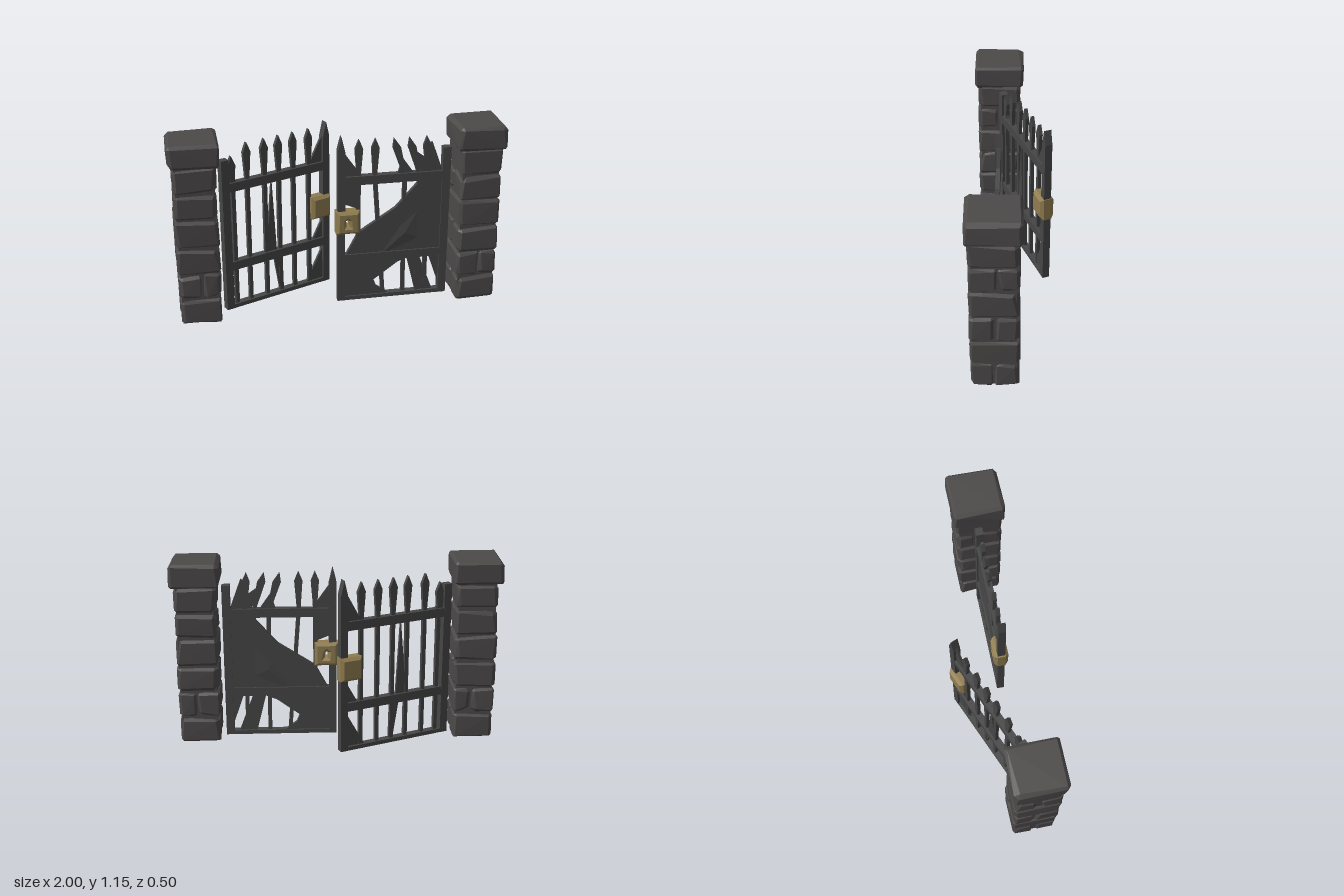
import * as THREE from 'three';
import { ConvexGeometry } from 'three/addons/geometries/ConvexGeometry.js';

const mat = (name, color) => {
  const m = new THREE.MeshStandardMaterial({ color, flatShading: true });
  m.name = name;
  return m;
};

// Small seeded generator for the rough stone
function seeded(s) {
  return () => ((s = (s * 16807) % 2147483647) / 2147483647);
}

export function createModel() {
  const stone = mat('dark stone', 0x4c4949);
  const iron = mat('wrought iron', 0x474646);
  const brass = mat('old brass', 0x8f7c50);
  const model = new THREE.Group();
  model.name = 'ruinedGate';

  const add = (parent, name, geo, material) => {
    const mesh = new THREE.Mesh(geo, material);
    mesh.name = name;
    parent.add(mesh);
    return mesh;
  };

  // A block with unevenly chipped corners between two opposite corners
  function roughBlock(lo, hi, rnd, chip = 0.022) {
    const pts = [];
    for (let i = 0; i < 8; i++) {
      const side = [i & 1, (i >> 1) & 1, (i >> 2) & 1];
      const corner = side.map((s, k) => (s ? hi[k] : lo[k]));
      const inward = side.map((s) => (s ? -1 : 1));
      const c = chip * (0.6 + rnd() * 0.9);
      for (let k = 0; k < 3; k++) {
        const p = corner.map((v, j) => v + inward[j] * (j === k ? rnd() * 0.006 : c * (0.7 + rnd() * 0.6)));
        pts.push(new THREE.Vector3(...p));
      }
    }
    return new ConvexGeometry(pts);
  }

  // Pillar: courses of single and split stones, then a cap
  const rows = [0, 0.17, 0.335, 0.505, 0.68, 0.84, 1.005];
  function pillar(name, cx, seed) {
    const rnd = seeded(seed);
    const g = new THREE.Group();
    g.name = name;
    g.position.set(cx, 0, 0.092);
    const core = add(g, 'pillarCore', new THREE.BoxGeometry(0.225, 1.06, 0.245), stone);
    core.position.y = 0.54;
    for (let r = 0; r < 6; r++) {
      const w = 0.126 + rnd() * 0.006, d = 0.138 + rnd() * 0.006;
      const y0 = rows[r] + (r ? 0.001 : 0), y1 = rows[r + 1] - 0.001;
      const cut = (rnd() - 0.5) * 0.04;
      const boxes = r % 2 === 0
        ? [[-w, -d, w, cut], [-w, cut, w, d]]
        : r === 1
          ? [[-w, -d, cut, d], [cut, -d, w, d]]
          : [[-w, -d, w, d]];
      for (const [x0, z0, x1, z1] of boxes)
        add(g, 'stone', roughBlock([x0, y0, z0], [x1, y1, z1], rnd), stone);
    }
    add(g, 'capStone', roughBlock([-0.15, 1, -0.158], [0.15, 1.15, 0.158], rnd, 0.02), stone);
    model.add(g);
  }
  pillar('rightPillar', -0.85, 31);
  pillar('leftPillar', 0.85, 877);

  // Flat outline thickened about the gate plane
  function plate(parent, name, pts, depth, material = iron) {
    const shape = new THREE.Shape(pts.map(([x, y]) => new THREE.Vector2(x, y)));
    const geo = new THREE.ExtrudeGeometry(shape, { depth, bevelEnabled: false });
    geo.translate(0, 0, -depth / 2);
    return add(parent, name, geo, material);
  }

  // Spear-headed bar; the part above the top rail may lean
  function bar(parent, u, tip = 1.065, lean = 0, tilt = 0) {
    const at = (y) => u + lean * Math.max(0, (y - 0.8) / 0.27) + tilt * (0.8 - Math.min(y, 0.8));
    const neck = tip - 0.06;
    const half = [[0, 0.012], [0.82, 0.013], [0.86, 0.014], [neck, 0.025]];
    plate(parent, 'spearBar', [
      ...half.map(([y, w]) => [at(y) + w, y]),
      [at(tip), tip],
      ...half.slice().reverse().map(([y, w]) => [at(y) - w, y]),
    ], 0.022);
  }

  // Gate frame running along +x from its hinge
  function gateFrame(name, length) {
    const g = new THREE.Group();
    g.name = name;
    const box = (part, x0, x1, y0, y1, d) => {
      const m = add(g, part, new THREE.BoxGeometry(x1 - x0, y1 - y0, d), iron);
      m.position.set((x0 + x1) / 2, (y0 + y1) / 2, 0);
    };
    box('hingePost', -0.005, 0.045, 0.005, 0.985, 0.046);
    for (const [y0, y1] of [[0.005, 0.03], [0.265, 0.32], [0.78, 0.835]])
      box('rail', 0.03, length - 0.02, y0, y1, 0.044);
    const L = length;
    plate(g, 'latchPost', [[L - 0.046, 0.005], [L, 0.005], [L, 1], [L - 0.022, 1.09], [L - 0.046, 0.99]], 0.046);
    model.add(g);
    return g;
  }

  // Brass lock case, optionally with a keyhole right through
  function lockCase(parent, u0, u1, keyhole) {
    const b = 0.018;
    const s = new THREE.Shape();
    const [x0, x1, y0, y1] = [u0 + b, u1 - b, 0.465 + b, 0.615 - b];
    s.moveTo(x0, y0).lineTo(x1, y0).lineTo(x1, y1).lineTo(x0, y1).closePath();
    const c = (u0 + u1) / 2;
    if (keyhole) {
      const r = 0.03;
      const h = new THREE.Path();
      h.moveTo(c - r, 0.5).lineTo(c - r * 0.7, 0.56).lineTo(c, 0.58)
        .lineTo(c + r, 0.56).lineTo(c + r * 0.8, 0.5).closePath();
      s.holes.push(h);
    }
    const geo = new THREE.ExtrudeGeometry(s, {
      depth: 0.05, bevelEnabled: true, bevelThickness: 0.02, bevelSize: b, bevelSegments: 1,
    });
    geo.translate(0, 0, -0.025);
    add(parent, 'lockCase', geo, brass);
  }

  // Swung-open gate with a few torn shards
  const open = gateFrame('openGate', 0.74);
  open.position.set(-0.69, 0, 0.07);
  open.rotation.y = 0.393;
  bar(open, 0.075, 1.0, -0.01);
  for (const u of [0.172, 0.29, 0.388, 0.49, 0.6]) bar(open, u);
  for (const pts of [
    [[0.29, 0.32], [0.36, 0.32], [0.335, 0.79]],
    [[0.34, 0.27], [0.4, 0.27], [0.405, 0.02], [0.38, 0.02]],
    [[0.6, 0.83], [0.71, 0.83], [0.71, 1.03]],
    [[0.615, 0.3], [0.71, 0.3], [0.71, 0.47]],
    [[0.57, 0.02], [0.71, 0.02], [0.71, 0.27]],
    [[0.03, 0.83], [0.1, 0.83], [0.03, 0.97]],
  ]) plate(open, 'tornShard', pts, 0.016);
  lockCase(open, 0.605, 0.745, false);

  // Closed gate, wrecked: the frame turns about so it runs towards -x
  const H = 0.69;
  const closed = gateFrame('closedGate', H);
  closed.position.set(H, 0, 0.08);
  closed.rotation.y = Math.PI;
  bar(closed, H - 0.13);
  bar(closed, H - 0.23, 1.065, 0, -0.08);
  bar(closed, H - 0.42, 1.06, 0.08);
  bar(closed, H - 0.51, 1.06, 0.075);
  bar(closed, H - 0.56, 1.06, 0.015);

  // Buckled sheet and shards, laid out in world x and turned to gate x
  const sheet = (name, pts, depth) => plate(closed, name, pts.map(([x, y]) => [H - x, y]), depth);
  sheet('buckledSheet', [
    [0.02, 0.015], [0.32, 0.03], [0.25, 0.08], [0.23, 0.13], [0.42, 0.27], [0.66, 0.29],
    [0.66, 0.8], [0.52, 0.79], [0.36, 0.61], [0.13, 0.46], [0.03, 0.27],
  ], 0.026);
  for (const pts of [
    [[0.44, 0.27], [0.52, 0.27], [0.61, 0.03], [0.5, 0.03]],
    [[0.58, 0.27], [0.66, 0.27], [0.66, 0.04]],
    [[0.03, 0.8], [0.14, 0.8], [0.13, 0.62], [0.03, 0.66]],
    [[0.03, 1.0], [0.03, 0.83], [0.15, 0.83]],
    [[0.46, 0.98], [0.52, 0.83], [0.65, 0.83], [0.6, 0.88]],
    [[0.37, 0.83], [0.47, 0.83], [0.4, 0.93]],
    [[0.54, 1.0], [0.58, 1.02], [0.65, 0.83], [0.58, 0.83]],
  ]) sheet('tornShard', pts, 0.016);

  // Creases raised across both faces of the buckled sheet
  for (const side of [1, -1]) {
    const crease = new ConvexGeometry([
      [0.06, 0.1, 0], [0.62, 0.78, 0], [0.64, 0.34, 0], [0.36, 0.56, 0], [0.42, 0.44, 0.022 * side],
    ].map(([x, y, z]) => new THREE.Vector3(H - x, y, z)));
    add(closed, 'sheetCrease', crease, iron);
  }
  lockCase(closed, H - 0.135, H + 0.01, true);

  return model;
}
